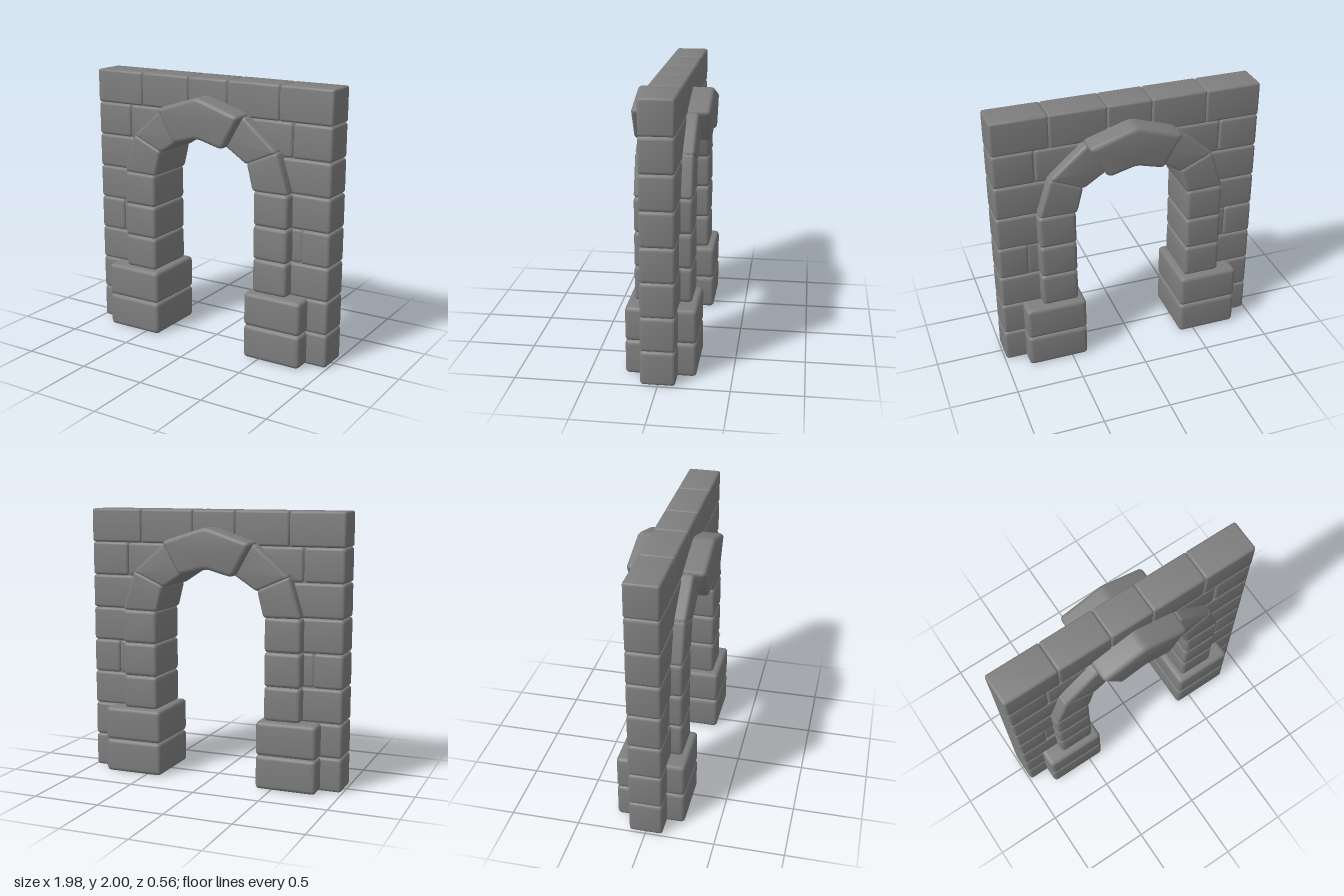
import * as THREE from 'three';
import { toCreasedNormals } from 'three/addons/utils/BufferGeometryUtils.js';

const material = new THREE.MeshStandardMaterial({ color: 0x7e7e7e });

// Polygon outline whose corners are softened by a radius
function roundedShape(points, radius) {
  const pts = points.map(([x, y]) => new THREE.Vector2(x, y));
  const shape = new THREE.Shape();
  pts.forEach((p, i) => {
    const prev = pts[(i + pts.length - 1) % pts.length];
    const next = pts[(i + 1) % pts.length];
    const a = p.clone().add(prev.clone().sub(p).setLength(radius));
    const b = p.clone().add(next.clone().sub(p).setLength(radius));
    if (i === 0) shape.moveTo(a.x, a.y);
    else shape.lineTo(a.x, a.y);
    shape.quadraticCurveTo(p.x, p.y, b.x, b.y);
  });
  shape.closePath();
  return shape;
}

// A worn stone block: outline in x/y, reaching from -halfDepth to +halfDepth in z
function stone(name, points, halfDepth, bevel = 0.022) {
  const geometry = new THREE.ExtrudeGeometry(roundedShape(points, bevel * 1.2), {
    depth: 2 * (halfDepth - bevel), curveSegments: 4,
    bevelThickness: bevel, bevelSize: bevel, bevelOffset: -bevel, bevelSegments: 3,
  });
  geometry.translate(0, 0, bevel - halfDepth);
  const mesh = new THREE.Mesh(toCreasedNormals(geometry, 0.7), material);
  mesh.name = name;
  return mesh;
}

const rect = (x0, x1, y0, y1) => [[x0, y0], [x1, y0], [x1, y1], [x0, y1]];
const mirror = (points, side) => points.map(([x, y]) => [x * side, y]);

export function createModel() {
  const model = new THREE.Group();
  model.name = 'stoneArchway';
  const WALL = 0.122, PILLAR = 0.203, BASE = 0.25, KEY = 0.28;

  // Mortar core that closes the joints of the wall
  const core = new THREE.Shape([
    [-0.97, 0.02], [-0.6, 0.02], [-0.6, 1.25], [-0.5, 1.5], [-0.27, 1.7], [0.27, 1.7],
    [0.5, 1.5], [0.6, 1.25], [0.6, 0.02], [0.97, 0.02], [0.97, 1.98], [-0.97, 1.98],
  ].map(([x, y]) => new THREE.Vector2(x, y)));
  const coreGeometry = new THREE.ExtrudeGeometry(core, { depth: 0.21, bevelEnabled: false });
  coreGeometry.translate(0, 0, -0.105);
  const mortar = new THREE.Mesh(coreGeometry, material);
  mortar.name = 'mortarCore';
  model.add(mortar);

  // Top course of five stones
  const splits = [-0.99, -0.58, -0.17, 0.16, 0.58, 0.99];
  for (let i = 0; i < 5; i++) {
    model.add(stone('topCourseStone', rect(splits[i], splits[i + 1], 1.75, 2), WALL, 0.016));
  }

  for (const side of [1, -1]) {
    const half = new THREE.Group();
    half.name = side > 0 ? 'leftHalf' : 'rightHalf';
    const add = (name, points, depth, bevel) =>
      half.add(stone(name, mirror(points, side), depth, bevel));

    // Wall courses beside the arch; one course has a recessed filler stone
    for (let row = 0; row < 6; row++) {
      const y = row * 0.25;
      const inner = row === 3 ? 0.77 : row === 5 ? 0.52 : 0.58;
      add('wallStone', rect(inner, 0.99, y, y + 0.25), WALL, 0.022);
    }
    add('fillerStone', rect(0.58, 0.78, 0.75, 1), WALL - 0.01, 0.022);
    add('wallStone', rect(0.69, 0.99, 1.5, 1.75), WALL, 0.022);
    add('wallStone', [[0.5, 1.5], [0.69, 1.5], [0.69, 1.75], [0.3, 1.75]], WALL, 0.022);

    // Plinth, pillar and arch stones
    for (const y of [0, 0.25]) add('baseStone', rect(0.38, 0.835, y, y + 0.252), BASE, 0.028);
    for (const y of [0.5, 0.75, 1]) add('pillarStone', rect(0.425, 0.7, y, y + 0.252), PILLAR, 0.026);
    add('lowerArchStone', [[0.415, 1.245], [0.7, 1.25], [0.605, 1.55], [0.365, 1.445]], PILLAR, 0.024);
    add('upperArchStone', [[0.365, 1.43], [0.61, 1.54], [0.335, 1.775], [0.18, 1.55]], PILLAR, 0.024);
    model.add(half);
  }

  // Keystone spanning the crown
  model.add(stone('keystone', [
    [-0.205, 1.53], [0, 1.585], [0.205, 1.53], [0.345, 1.775], [0, 1.885], [-0.345, 1.775],
  ], KEY, 0.03));

  return model;
}
